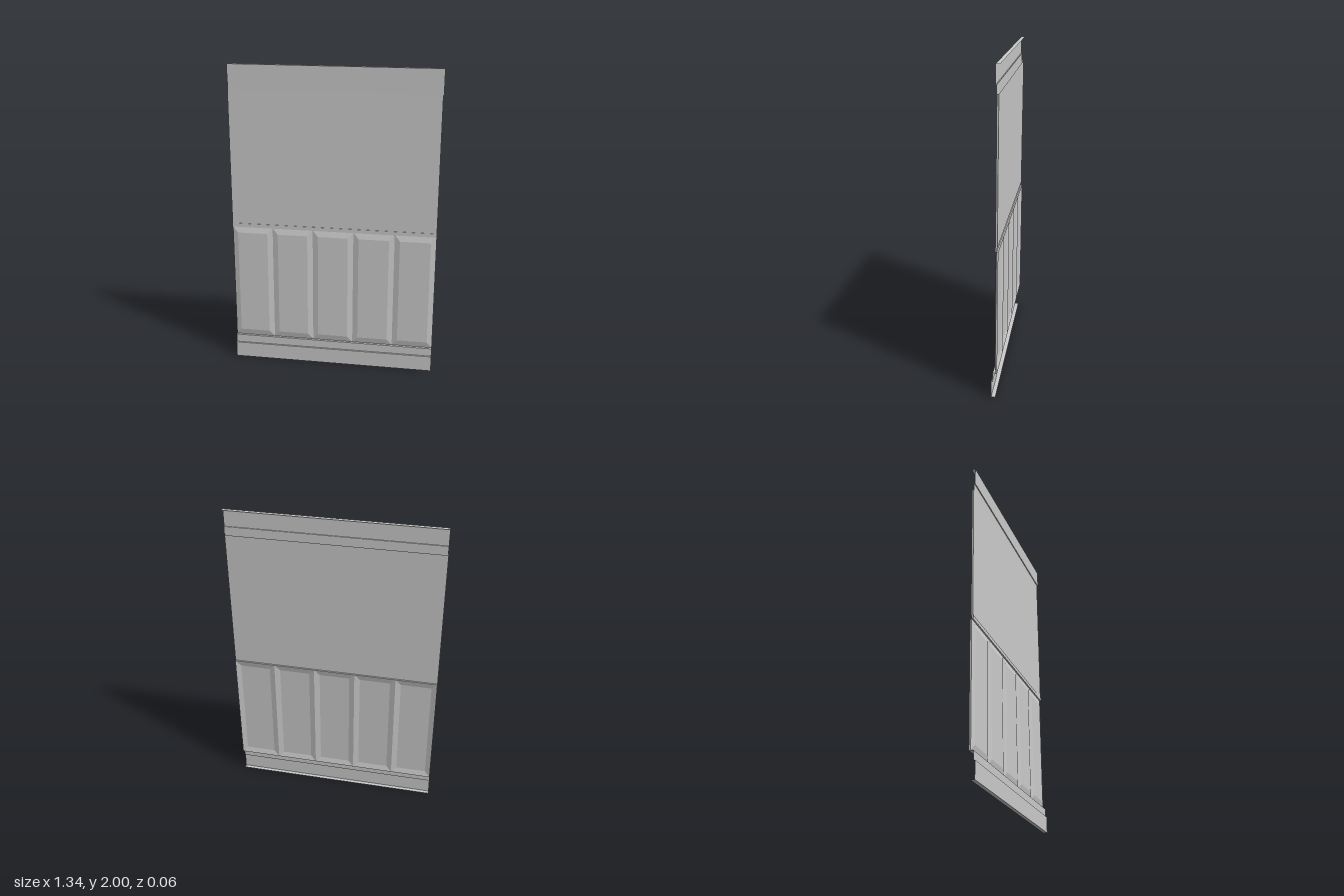
import * as THREE from 'three';

const material = new THREE.MeshStandardMaterial({
  color: 0xcccccc, flatShading: true, side: THREE.DoubleSide,
});
const LEFT = -0.67, RIGHT = 0.665, THICK = 0.011;

// Flat-shaded mesh from quads, corners counter-clockwise from outside
function quadMesh(name, quads) {
  const points = [];
  for (const [a, b, c, d] of quads) points.push(...a, ...b, ...c, ...a, ...c, ...d);
  const geometry = new THREE.BufferGeometry();
  geometry.setAttribute('position', new THREE.Float32BufferAttribute(points, 3));
  geometry.computeVertexNormals();
  const mesh = new THREE.Mesh(geometry, material);
  mesh.name = name;
  return mesh;
}

// Sheet folded along a [y, z] profile (listed bottom to top), running across x
function foldedSheet(name, profile, x0 = LEFT, x1 = RIGHT) {
  const quads = [];
  for (let i = 0; i + 1 < profile.length; i++) {
    const [ya, za] = profile[i], [yb, zb] = profile[i + 1];
    quads.push([[x0, ya, za], [x1, ya, za], [x1, yb, zb], [x0, yb, zb]]);
  }
  return quadMesh(name, quads);
}

// The whole sheet leans back slightly
const lean = (y) => 0.0125 - 0.0144 * y;
const baseZ = (y) => lean(y) - 0.006;
const raisedZ = (y) => lean(y) + 0.003;

// Row of raised bays with bevelled borders meeting in V grooves
function raisedBays(name, offset) {
  const quads = [], count = 5, width = (RIGHT - LEFT) / count;
  const y0 = 0.16, y1 = 0.94, bevel = 0.035;
  for (let i = 0; i < count; i++) {
    const x0 = LEFT + i * width, x1 = x0 + width;
    const outer = [[x0, y0], [x1, y0], [x1, y1], [x0, y1]]
      .map(([x, y]) => [x, y, baseZ(y) + offset]);
    const inner = [[x0 + bevel, y0 + 0.04], [x1 - bevel, y0 + 0.04],
      [x1 - bevel, y1 - 0.04], [x0 + bevel, y1 - 0.04]]
      .map(([x, y]) => [x, y, raisedZ(y) + offset]);
    quads.push(inner);
    for (let k = 0; k < 4; k++) {
      const n = (k + 1) % 4;
      quads.push([outer[k], outer[n], inner[n], inner[k]]);
    }
  }
  return quadMesh(name, quads);
}

export function createModel() {
  const group = new THREE.Group();
  group.name = 'wallPanel';

  // Front and back skins: bays below, plain sheet above with a small moulding
  const upper = [[0.94, baseZ(0.94)], [0.94, raisedZ(0.94)],
    [0.965, raisedZ(0.965)], [0.965, lean(0.965)], [1.84, lean(1.84)]];
  for (const [side, offset] of [['front', 0], ['back', -THICK]]) {
    group.add(raisedBays(side + 'Bays', offset));
    group.add(foldedSheet(side + 'UpperSheet', upper.map(([y, z]) => [y, z + offset])));
  }

  // Side edges joining the two skins
  const edge = [[0.16, baseZ(0.16)], ...upper];
  for (const [name, x] of [['rightEdge', LEFT], ['leftEdge', RIGHT]]) {
    const quads = [];
    for (let i = 0; i + 1 < edge.length; i++) {
      const [ya, za] = edge[i], [yb, zb] = edge[i + 1];
      const quad = [[x, ya, za], [x, ya, za - THICK], [x, yb, zb - THICK], [x, yb, zb]];
      quads.push(x > 0 ? quad : quad.reverse());
    }
    group.add(quadMesh(name, quads));
  }

  // Bottom skirting stepping forward, with a lip turned back underneath
  group.add(foldedSheet('bottomSkirting', [
    [0, 0.005], [0, 0.03], [0.105, 0.03], [0.105, 0.02],
    [0.16, 0.02], [0.16, baseZ(0.16) - THICK],
  ]));

  // Top rail with a lip turned back
  group.add(foldedSheet('topRail', [
    [1.84, -0.014], [1.89, -0.014], [1.89, -0.008], [2, -0.008], [2, -0.033],
  ], LEFT + 0.003, RIGHT + 0.005));

  return group;
}
